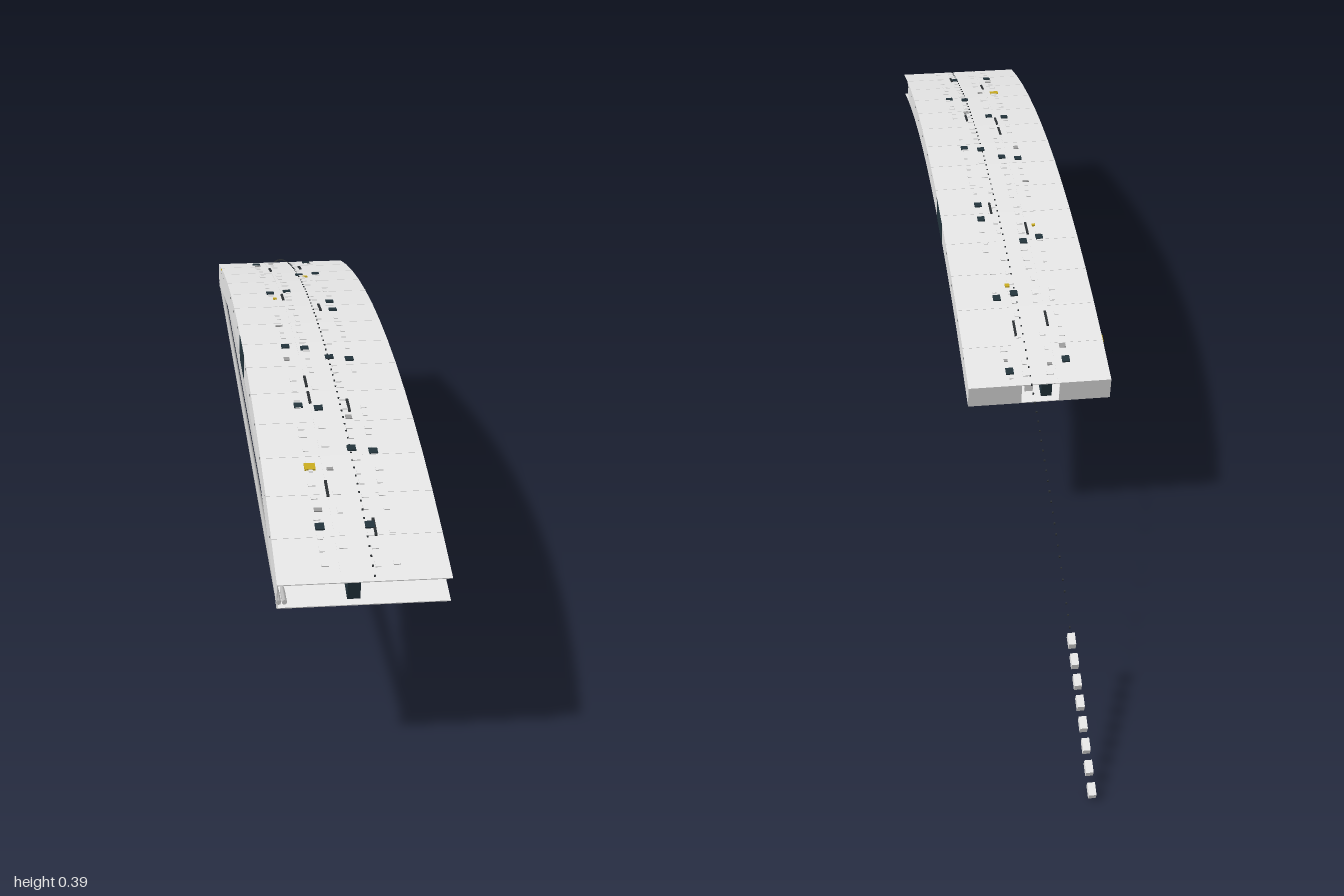
import * as THREE from 'three';

const R = 2.53, RI = 2.487;          // roof and underside radii
const CY = -2.143, CZ = 0.333;       // centre of the arc
const HALF = 0.266, PANELS = 14;     // half angle and number of hull panels
const STEP = (2 * HALF) / PANELS;
const W = 0.119, T = 0.0015;         // half width and plating thickness

const paint = (name, color) => {
  const m = new THREE.MeshStandardMaterial({ color });
  m.name = name;
  return m;
};

export function createModel() {
  const hull = paint('hull grey', 0xe6e6e6);
  const detail = paint('detail grey', 0x9a9a9a);
  const dark = paint('dark grey', 0x2c3033);
  const glass = paint('dark teal', 0x22333b);
  const yellow = paint('yellow', 0xc8aa1e);
  const pipeGrey = paint('pipe grey', 0xbcbcbc);

  const model = new THREE.Group();
  model.name = 'curvedStation';
  const section = (name) => {
    const g = new THREE.Group();
    g.name = name;
    model.add(g);
    return g;
  };

  // Solid piece of the ring, bounded in x, radius and angle
  const arc = (parent, name, mat, x0, x1, r0, r1, a0, a1) => {
    const n = Math.max(1, Math.round((a1 - a0) / STEP));
    const pts = [];
    for (const [r, from, to] of [[r0, a0, a1], [r1, a1, a0]]) {
      for (let i = 0; i <= n; i++) {
        const a = from + ((to - from) * i) / n;
        pts.push(new THREE.Vector2(CZ + r * Math.sin(a), CY + r * Math.cos(a)));
      }
    }
    const geo = new THREE.ExtrudeGeometry(new THREE.Shape(pts), { depth: x1 - x0, bevelEnabled: false });
    geo.rotateY(-Math.PI / 2).translate(x1, 0, 0);
    const mesh = new THREE.Mesh(geo, mat);
    mesh.name = name;
    parent.add(mesh);
  };
  const angleAt = (z) => Math.asin((z - CZ) / R);

  // Box standing on the ring at angle a
  const block = (parent, name, mat, x, r, a, w, h, l) => {
    const mesh = new THREE.Mesh(new THREE.BoxGeometry(w, h, l), mat);
    mesh.name = name;
    mesh.position.set(x, CY + r * Math.cos(a), CZ + r * Math.sin(a));
    mesh.rotation.x = a;
    parent.add(mesh);
  };

  // Hull: roof, floor, walls; the front of one wall and the front end stay open
  const shell = section('hull');
  arc(shell, 'roof', hull, -W, W, R - T, R, -HALF, HALF);
  arc(shell, 'floor', hull, -W, W, RI, RI + T, -HALF, HALF);
  arc(shell, 'rightWall', hull, -W, -W + T, RI + T, R - T, -HALF, HALF);
  arc(shell, 'leftWall', hull, W - T, W, RI + T, R - T, -HALF, HALF - STEP);
  for (const [x0, x1] of [[-W + T, -0.033], [0.03, W - T]]) {
    arc(shell, 'backWall', hull, x0, x1, RI + T, R - T, -HALF, -HALF + 0.0008);
  }

  // Large dark window on each side wall
  for (const [s, z] of [[1, 0.158], [-1, 0.33]]) {
    const a = angleAt(z);
    const x = s * W;
    arc(shell, 'sideWindow', glass, x - 0.0008, x + 0.0008, RI + 0.0005, R - 0.001, a - 0.0175, a + 0.0175);
  }

  // Raised joints between roof panels and small fittings on the walls
  const seams = section('panelSeams');
  for (let i = 1; i < PANELS; i++) {
    const a = -HALF + i * STEP;
    for (const [x0, x1] of [[-W, -0.032], [0.03, W]]) {
      arc(seams, 'roofJoint', hull, x0, x1, R - 0.0004, R + 0.0004, a - 0.0008, a + 0.0008);
    }
    for (const s of [-1, 1]) {
      block(seams, 'wallFitting', dark, s * W, R - 0.01, a - 0.006, 0.001, 0.003, 0.002);
    }
  }
  arc(seams, 'spineJoint', hull, -0.0315, -0.0305, R - 0.0004, R + 0.0004, -HALF, HALF);

  // Rows of low roof equipment
  let seed = 17;
  const rand = () => (seed = (seed * 16807) % 2147483647) / 2147483647;
  const equipment = section('roofEquipment');
  for (const x of [-0.05, -0.02, 0.02, 0.048]) {
    for (let i = 0; i < 44; i++) {
      if (rand() < 0.3) continue;
      const a = -HALF + 0.006 + (i + rand() * 0.5) * 0.0118;
      const mat = rand() < 0.08 ? detail : hull;
      block(equipment, 'roofBox', mat, x + (rand() - 0.5) * 0.005, R + 0.0003, Math.min(a, HALF - 0.004),
        0.006 + rand() * 0.006, 0.0014 + rand() * 0.0008, 0.005 + rand() * 0.008);
    }
  }
  const hatches = [[-0.05, 0.05], [-0.02, 0.04], [0.047, 0.12], [0.047, 0.17], [-0.05, 0.35], [-0.02, 0.36],
    [0.016, 0.4], [0.047, 0.41], [-0.05, 0.57], [-0.02, 0.58], [0.016, 0.7], [0.047, 0.71], [-0.05, 0.885],
    [0.02, 0.885], [-0.05, -0.28], [0.047, -0.3], [0.047, -0.12], [0.016, -0.11]];
  for (const [x, z] of hatches) {
    block(equipment, 'darkHatch', glass, x, R + 0.0006, angleAt(z), 0.013, 0.003, 0.014);
  }
  for (const [x, z, size] of [[-0.05, 0.745, 0.016], [0.025, -0.088, 0.008], [-0.045, 0.09, 0.006]]) {
    block(equipment, 'yellowHatch', yellow, x, R + 0.0006, angleAt(z), size, 0.003, size);
  }
  block(equipment, 'yellowEdgeMark', yellow, -W, R - 0.002, angleAt(-0.235), 0.002, 0.003, 0.016);
  for (const [x, z] of [[-0.031, 0.08], [-0.031, 0.49], [-0.031, 0.545], [-0.031, 0.8], [-0.031, -0.18],
    [0.026, 0.155], [0.026, 0.575], [0.026, 0.89], [0.026, -0.2]]) {
    block(equipment, 'darkStrip', dark, x, R + 0.0006, angleAt(z), 0.004, 0.0025, 0.038);
  }

  // Slots along the underside
  const slots = section('undersideSlots');
  for (const z of [0.84, 0.65, 0.465, 0.18, 0, -0.19]) {
    block(slots, 'slot', dark, 0, RI - 0.0004, angleAt(z), 0.016, 0.002, 0.075);
  }
  for (const z of [0.18, 0]) {
    block(slots, 'yellowMark', yellow, 0.022, RI - 0.0004, angleAt(z), 0.005, 0.002, 0.055);
  }

  // Dark booths inside the open ends
  const inside = section('interior');
  for (const s of [-1, 1]) {
    block(inside, 'booth', glass, -0.013, RI + 0.021, s * (HALF - 0.01), 0.018, 0.036, 0.03);
  }
  block(inside, 'backFrame', hull, 0.015, RI + 0.021, -HALF + 0.01, 0.014, 0.036, 0.003);

  // Straight pipes between the two ends
  const pipes = section('pipes');
  for (const x of [-0.116, -0.108]) {
    const pipe = new THREE.Mesh(new THREE.CylinderGeometry(0.0035, 0.0035, 1.308, 8), pipeGrey);
    pipe.name = 'pipe';
    pipe.rotation.x = Math.PI / 2;
    pipe.position.set(x, 0.266, CZ);
    pipes.add(pipe);
  }

  // Dotted track running over the roof and on to the cars
  const track = section('track');
  for (let a = HALF - 0.004; a > -0.452; a -= 0.008) {
    block(track, 'trackMarker', dark, 0.014, R, a, 0.0025, 0.0025, 0.0025);
  }

  // Train of eight cars
  const train = section('train');
  for (let i = 0; i < 8; i++) {
    block(train, 'car', hull, 0.014, R - 0.002, -0.4585 - i * 0.0131, 0.011, 0.015, 0.019);
  }
  return model;
}
